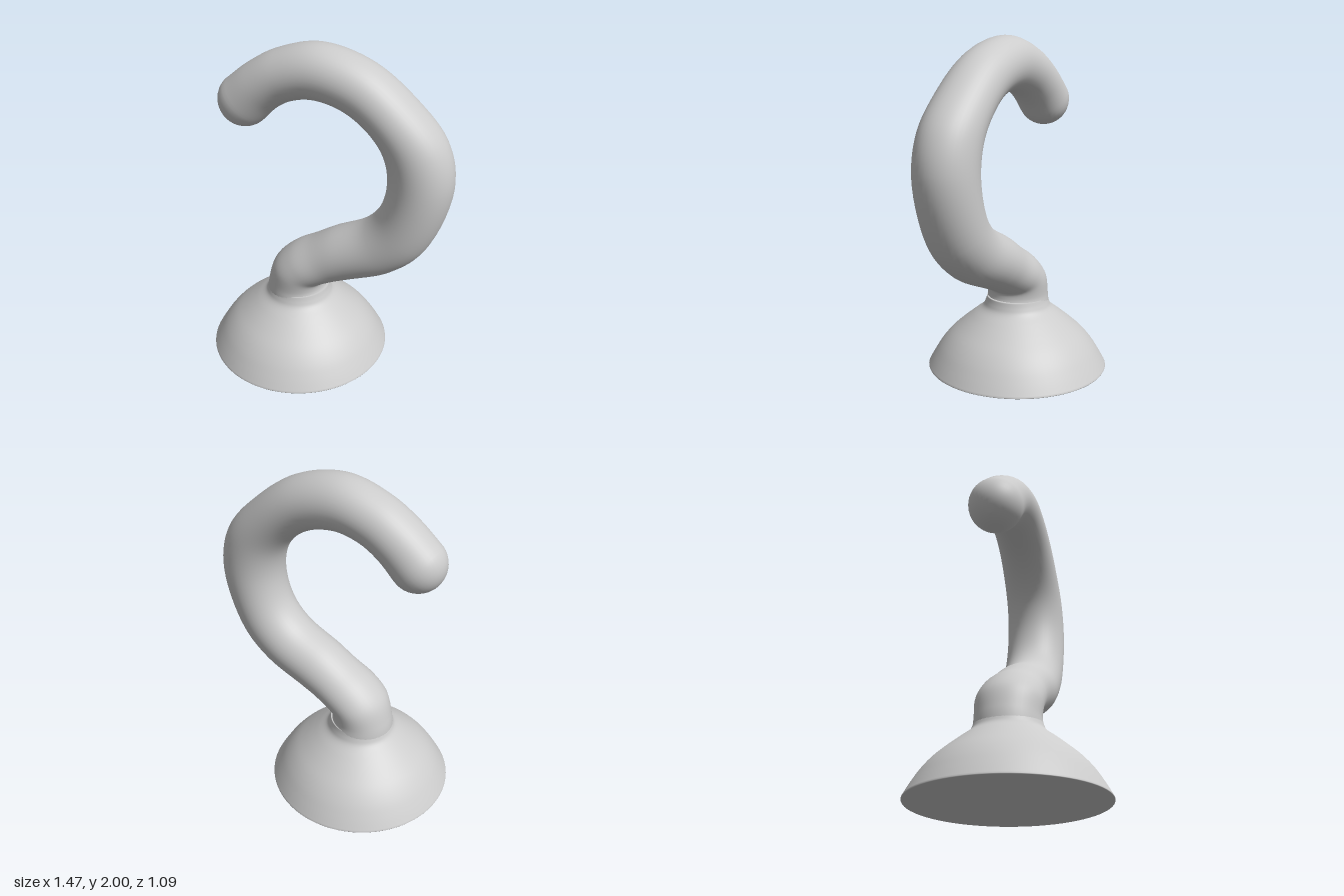
import * as THREE from 'three';

const material = new THREE.MeshStandardMaterial({ color: 0xcccccc, roughness: 0.7 });

// Hook stations: inner edge x, y, outer edge x, y, half depth in z
const stations = [
  [-0.385, 0.33, 0.0, 0.33, 0.19],
  [-0.383, 0.4, -0.002, 0.4, 0.19],
  [-0.372, 0.47, -0.018, 0.455, 0.185],
  [-0.33, 0.6, -0.015, 0.488, 0.19],
  [-0.23, 0.705, 0.02, 0.507, 0.188],
  [-0.1, 0.787, 0.09, 0.54, 0.178],
  [0.02, 0.865, 0.18, 0.578, 0.177],
  [0.23, 0.98, 0.42, 0.69, 0.178],
  [0.325, 1.1, 0.6, 0.87, 0.18],
  [0.362, 1.27, 0.73, 1.27, 0.18],
  [0.335, 1.43, 0.68, 1.53, 0.177],
  [0.25, 1.555, 0.49, 1.75, 0.17],
  [0.11, 1.65, 0.24, 1.93, 0.163],
  [-0.06, 1.685, -0.05, 2.0, 0.158],
  [-0.2, 1.655, -0.3, 1.935, 0.155],
  [-0.3, 1.593, -0.47, 1.835, 0.155],
  [-0.385, 1.505, -0.615, 1.715, 0.155],
];

function hookGeometry(steps = 110, sides = 40, capSteps = 10) {
  const inner = new THREE.CatmullRomCurve3(stations.map(s => new THREE.Vector3(s[0], s[1], 0)));
  const outer = new THREE.CatmullRomCurve3(stations.map(s => new THREE.Vector3(s[2], s[3], s[4])));
  const rings = [];
  for (let i = 0; i <= steps; i++) {
    const a = inner.getPoint(i / steps), b = outer.getPoint(i / steps);
    rings.push({
      x: (a.x + b.x) / 2, y: (a.y + b.y) / 2,
      hx: (b.x - a.x) / 2, hy: (b.y - a.y) / 2, rz: b.z,
    });
  }
  // Rounded tip: shrinking rings pushed along the hook's end direction
  const end = rings[steps];
  for (let i = 1; i <= capSteps; i++) {
    const angle = (i / capSteps) * Math.PI / 2;
    const c = Math.max(Math.cos(angle), 0.002), s = Math.sin(angle);
    rings.push({
      x: end.x - end.hy * s, y: end.y + end.hx * s,
      hx: end.hx * c, hy: end.hy * c, rz: end.rz * c,
    });
  }
  const positions = [], index = [];
  rings.forEach((r, i) => {
    for (let j = 0; j < sides; j++) {
      const t = (j / sides) * Math.PI * 2, c = Math.cos(t);
      positions.push(r.x + r.hx * c, r.y + r.hy * c, r.rz * Math.sin(t));
      if (i === rings.length - 1) continue;
      const a = i * sides + j, b = i * sides + (j + 1) % sides;
      index.push(a, a + sides, b, b, a + sides, b + sides);
    }
  });
  const geometry = new THREE.BufferGeometry();
  geometry.setAttribute('position', new THREE.Float32BufferAttribute(positions, 3));
  geometry.setIndex(index);
  geometry.computeVertexNormals();
  return geometry;
}

// Domed foot that flares from the neck down to a flat underside
function baseGeometry() {
  const dome = new THREE.SplineCurve([
    [0.547, 0.004], [0.51, 0.07], [0.465, 0.14], [0.41, 0.205], [0.34, 0.268],
    [0.27, 0.325], [0.213, 0.37], [0.194, 0.405], [0.184, 0.44],
  ].map(p => new THREE.Vector2(...p))).getPoints(40);
  const profile = [
    new THREE.Vector2(0, 0), new THREE.Vector2(0.535, 0), new THREE.Vector2(0.545, 0),
    ...dome, new THREE.Vector2(0, 0.45),
  ];
  return new THREE.LatheGeometry(profile, 72);
}

export function createModel() {
  const model = new THREE.Group();
  model.name = 'curvedHook';

  const base = new THREE.Mesh(baseGeometry(), material);
  base.name = 'base';
  base.position.x = -0.188;

  const hook = new THREE.Mesh(hookGeometry(), material);
  hook.name = 'hook';

  model.add(base, hook);
  return model;
}
